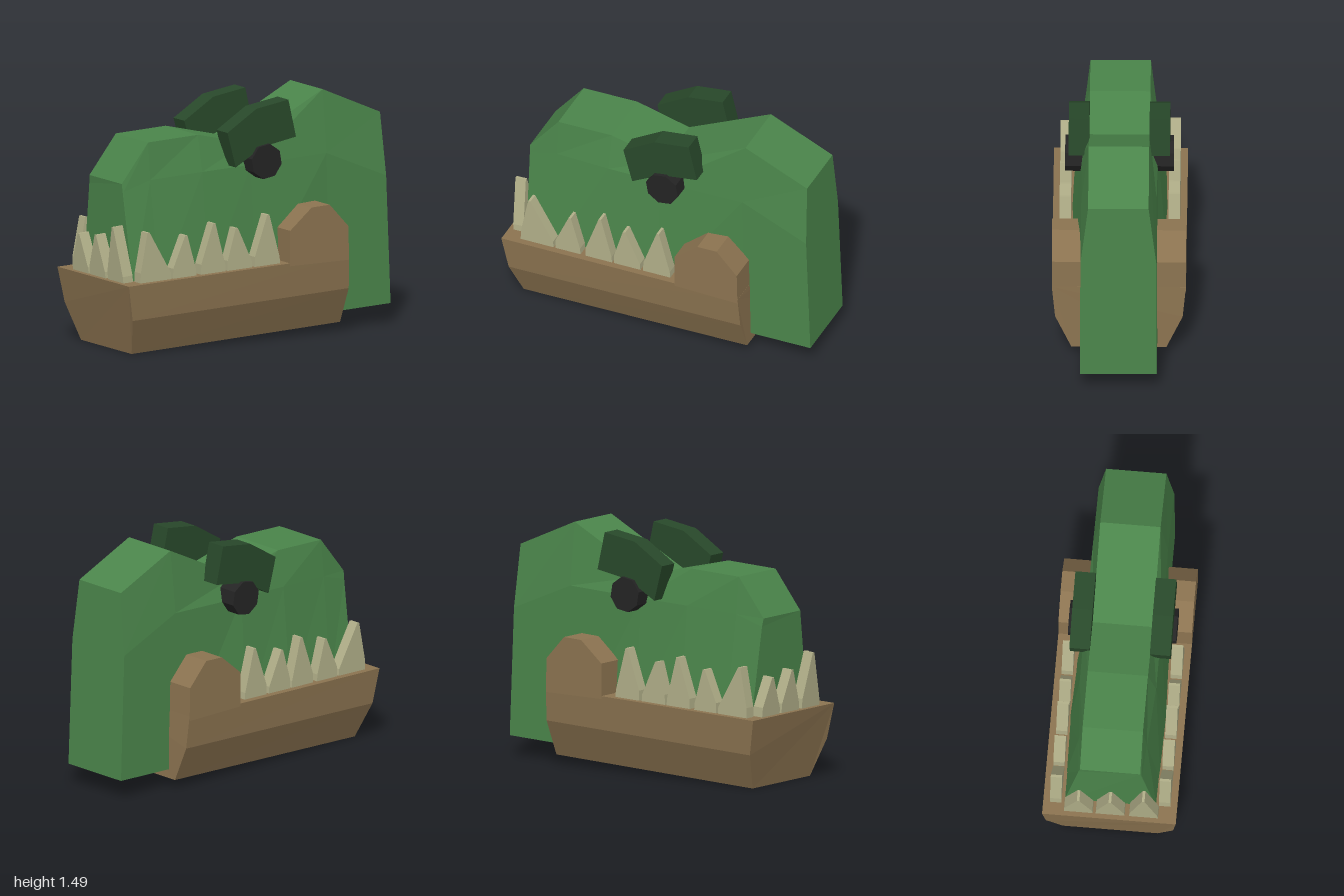
import * as THREE from 'three';

const mat = (color) => new THREE.MeshStandardMaterial({ color, flatShading: true });

// Skin over mirrored cross-sections; each section lists [x, y, halfWidth] from top to bottom
function loft(sections) {
  const rings = sections.map((s) => {
    const right = s.map(([x, y, w]) => [x, y, -w]);
    const left = s.map(([x, y, w]) => [x, y, w]);
    return [left[0], ...right, ...left.slice(1).reverse()];
  });
  const n = rings[0].length;
  const pos = [];
  const tri = (a, b, c) => pos.push(...a, ...b, ...c);
  for (let i = 0; i < rings.length - 1; i++) {
    for (let j = 0; j < n; j++) {
      const k = (j + 1) % n;
      const a = rings[i][j], b = rings[i][k], c = rings[i + 1][k], d = rings[i + 1][j];
      tri(a, d, c);
      tri(a, c, b);
    }
  }
  const first = rings[0], last = rings[rings.length - 1];
  for (let j = 1; j < n - 1; j++) {
    tri(first[0], first[j], first[j + 1]);
    tri(last[0], last[j + 1], last[j]);
  }
  const g = new THREE.BufferGeometry();
  g.setAttribute('position', new THREE.Float32BufferAttribute(pos, 3));
  g.computeVertexNormals();
  return g;
}

// Outline in x/y extruded along z, centred on z = 0
function slab(points, depth) {
  const shape = new THREE.Shape(points.map(([x, y]) => new THREE.Vector2(x, y)));
  return new THREE.ExtrudeGeometry(shape, { depth, bevelEnabled: false }).translate(0, 0, -depth / 2);
}

// Wedge tooth standing on its base, with a ridge at the tip
function toothGeometry(width, height, tip) {
  const h = width / 2;
  return slab([[-h, -0.03], [h, -0.03], [h * 0.96, 0.04], [tip + 0.008, height],
    [tip - 0.008, height], [-h * 0.96, 0.06]], 0.07);
}

export function createModel() {
  const root = new THREE.Group();
  const green = mat(0x4a844a);
  const brown = mat(0x8b7350);
  const ivory = mat(0xb0ae88);
  const darkGreen = mat(0x28482a);
  const black = mat(0x242424);

  const add = (name, geometry, material, parent = root) => {
    const mesh = new THREE.Mesh(geometry, material);
    mesh.name = name;
    parent.add(mesh);
    return mesh;
  };

  // Upper head: top edge, side crease, bottom edge
  add('upperHead', loft([
    [[-0.91, 1.04, 0.185], [-0.905, 0.99, 0.195], [-0.89, 0.4, 0.285]],
    [[-0.72, 1.28, 0.185], [-0.72, 1.05, 0.21], [-0.7, 0.38, 0.29]],
    [[-0.36, 1.293, 0.185], [-0.36, 1.07, 0.235], [-0.36, 0.36, 0.3]],
    [[-0.01, 1.21, 0.185], [-0.01, 1.08, 0.235], [0, 0.32, 0.29]],
    [[0.54, 1.49, 0.185], [0.54, 1.1, 0.23], [0.56, 0.11, 0.235]],
    [[0.955, 1.31, 0.185], [0.97, 0.92, 0.232], [1, 0.125, 0.235]],
  ]), green);

  // Lower jaw and its raised hinge
  add('lowerJaw', loft([
    [[-1, 0.445, 0.41], [-0.96, 0.225, 0.39], [-0.905, 0, 0.29]],
    [[0.59, 0.49, 0.41], [0.6, 0.28, 0.39], [0.6, 0.055, 0.29]],
  ]), brown);
  add('jawHinge', slab([[0.165, 0.46], [0.59, 0.46], [0.585, 0.67], [0.45, 0.815],
    [0.32, 0.81], [0.165, 0.68]], 0.82), brown);

  // Side teeth: centre x, width, height, tip offset
  const teeth = new THREE.Group();
  teeth.name = 'teeth';
  root.add(teeth);
  const sideTeeth = [
    [-0.778, 0.225, 0.305, -0.045],
    [-0.57, 0.17, 0.255, 0.018],
    [-0.363, 0.18, 0.305, 0.015],
    [-0.172, 0.18, 0.255, -0.015],
    [0.027, 0.185, 0.31, 0.015],
  ];
  for (const side of [1, -1]) {
    for (const [x, w, h, tip] of sideTeeth) {
      const tooth = add(side > 0 ? 'leftTooth' : 'rightTooth', toothGeometry(w, h, tip), ivory, teeth);
      tooth.position.set(x - (side < 0 ? 0.03 : 0), 0.475 + x * 0.028, side * 0.333);
      tooth.rotation.z = 0.028;
    }
  }

  // Front teeth lean slightly outward
  for (const [z, h] of [[-0.19, 0.24], [0.005, 0.26], [0.21, 0.34]]) {
    const tooth = add('frontTooth', toothGeometry(0.18, h, 0), ivory, teeth);
    tooth.position.set(-0.935, 0.447, z);
    tooth.rotation.set(0, -Math.PI / 2, 0.07, 'ZYX');
  }

  // Brows and eyes on both sides
  const browOutline = [[-0.165, 1.09], [0.03, 1.2], [0.27, 1.24], [0.215, 1.475],
    [-0.015, 1.44], [-0.225, 1.31]];
  for (const side of [1, -1]) {
    const label = side > 0 ? 'left' : 'right';
    add(label + 'Brow', slab(browOutline, 0.125), darkGreen).position.z = side * 0.247;
    const eye = add(label + 'Eye',
      new THREE.CylinderGeometry(0.11, 0.11, 0.13, 8).rotateX(Math.PI / 2).rotateZ(-0.22), black);
    eye.position.set(0.045, 1.11, side * 0.267);
  }
  return root;
}
